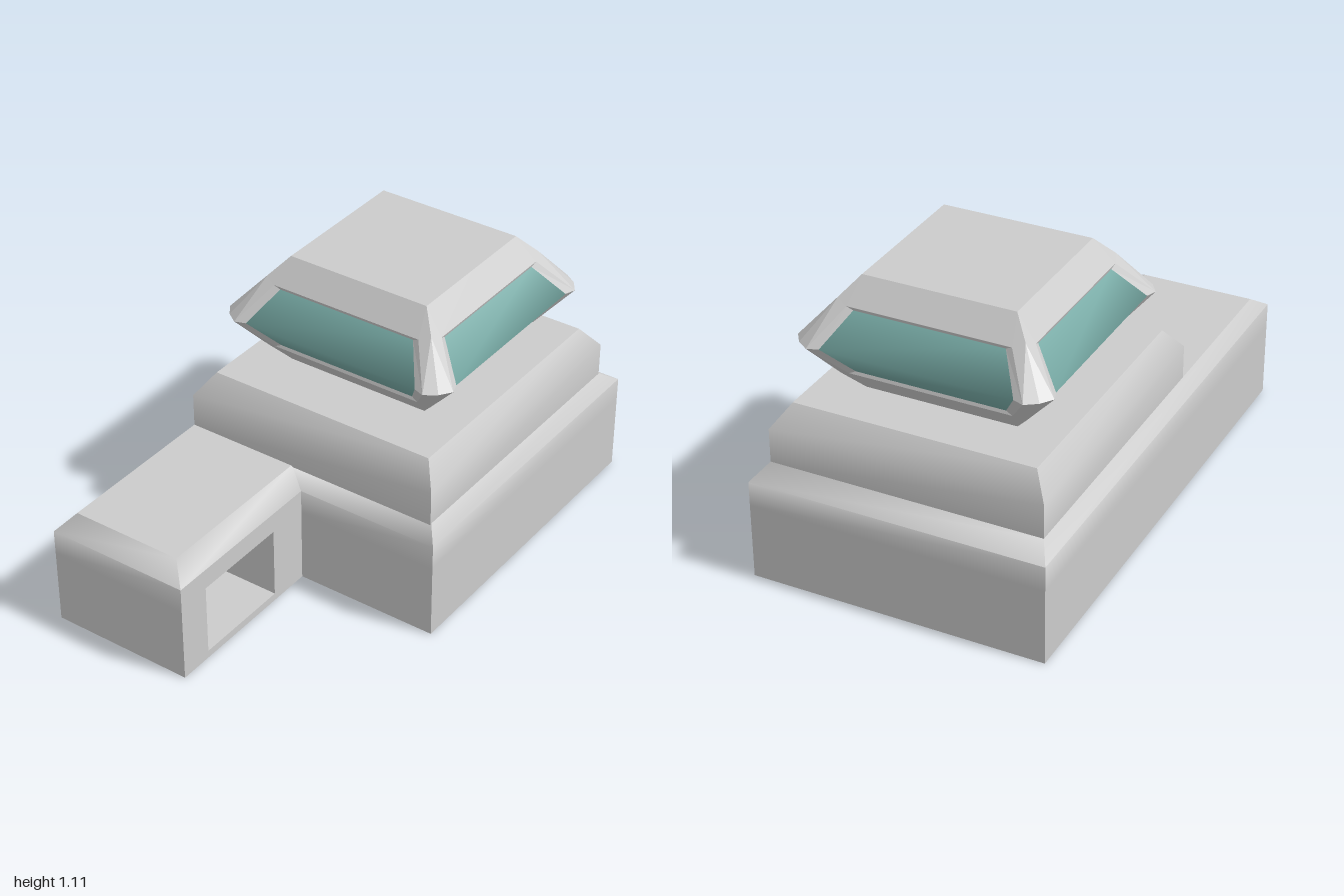
import * as THREE from 'three';
import { mergeGeometries, toCreasedNormals } from 'three/addons/utils/BufferGeometryUtils.js';

const grey = new THREE.MeshStandardMaterial({ color: 0xcccccc });
const glassMat = new THREE.MeshStandardMaterial({ color: 0x78aba6 });

// Flat polygons (fan triangulated) to a geometry with hard edges
function polys(list) {
  const pos = [];
  for (const p of list)
    for (let i = 1; i < p.length - 1; i++) pos.push(...p[0], ...p[i], ...p[i + 1]);
  const g = new THREE.BufferGeometry();
  g.setAttribute('position', new THREE.Float32BufferAttribute(pos, 3));
  g.computeVertexNormals();
  return g;
}

// Stacked outlines [y, [[x, z], ...]]; walls are softened, caps stay flat
function loft(levels, fanStart = 0, skip = () => false) {
  const rings = levels.map(([y, pts]) => pts.map(([x, z]) => [x, y, z]));
  const n = rings[0].length, walls = [];
  for (let k = 0; k < rings.length - 1; k++)
    for (let i = 0; i < n; i++) {
      if (skip(k, i)) continue;
      const j = (i + 1) % n;
      walls.push([rings[k][i], rings[k][j], rings[k + 1][j], rings[k + 1][i]]);
    }
  const fan = r => r.map((_, i) => r[(i + fanStart) % n]);
  const bottom = fan(rings[0]);
  const caps = [fan(rings[rings.length - 1]), [bottom[0], ...bottom.slice(1).reverse()]];
  return mergeGeometries([toCreasedNormals(polys(walls), 1.05), polys(caps)]);
}

const rect = (x, z0, z1) => [[-x, z1], [x, z1], [x, z0], [-x, z0]];

function mesh(name, geometry, material = grey) {
  const m = new THREE.Mesh(geometry, material);
  m.name = name;
  return m;
}

// One side of the cabin, seen along +z, centred on the origin
const H = 0.223;
const T = [0.295, H, 0.295], T0 = [0, H, 0.295], C = [0, H, 0];   // roof edge
const P = [0.357, 0.15, 0.357];                                  // start of corner chamfer
const A = [0.412, 0, 0.49], M = [0.458, 0, 0.458];               // chamfer at mid height
const O = [0.315, 0.132, 0.374], O0 = [0, 0.132, 0.374];         // window opening
const G = [0.29, 0.12, 0.37], G0 = [0, 0.12, 0.37], E = [0.37, 0, 0.475]; // glass edge

function cabinSide() {
  const quarter = [
    [C, T0, T], [O0, O, T, T0], [O, P, T], [O, A, P], [A, M, P],
    [G0, G, O, O0], [G, E, A, O],
  ];
  const all = [];
  for (const sx of [1, -1])
    for (const sy of [1, -1])
      for (const q of quarter) {
        const p = q.map(([x, y, z]) => [x * sx, y * sy, z]);
        all.push(sx * sy < 0 ? p.reverse() : p);
      }
  return polys(all);
}

// Window folded at mid height with a smooth crease
function windowGlass() {
  const g = new THREE.BufferGeometry();
  const pts = [
    [-G[0], G[1], G[2]], G, [-E[0], 0, E[2]], E,
    [-G[0], -G[1], G[2]], [G[0], -G[1], G[2]],
  ];
  g.setAttribute('position', new THREE.Float32BufferAttribute(pts.flat(), 3));
  g.setIndex([2, 3, 1, 2, 1, 0, 4, 5, 3, 4, 3, 2]);
  g.computeVertexNormals();
  return g;
}

export function createModel() {
  const model = new THREE.Group();

  // L-shaped base with a bevelled top
  const outer = [[-0.575, 1], [0, 1], [0, 0.3], [0.575, 0.3], [0.575, -1], [-0.575, -1]];
  const inner = [[-0.53, 0.92], [-0.08, 0.92], [-0.08, 0.245], [0.53, 0.245], [0.53, -0.92], [-0.53, -0.92]];
  model.add(mesh('base', loft(
    [[0, outer], [0.3, outer], [0.395, outer], [0.447, inner]],
    2, (k, i) => i === 1 && k < 2)));

  // Wing wall with the entrance opening
  const wall = new THREE.Shape([[-1, 0], [-0.3, 0], [-0.3, 0.395], [-1, 0.395]].map(p => new THREE.Vector2(...p)));
  wall.holes.push(new THREE.Path([[-0.865, 0.03], [-0.865, 0.315], [-0.47, 0.315], [-0.47, 0.03]].map(p => new THREE.Vector2(...p))));
  model.add(mesh('entranceWall', new THREE.ShapeGeometry(wall).rotateY(Math.PI / 2)));

  // Hollow room behind the opening, without its +x face
  const room = new THREE.BoxGeometry(0.5, 0.285, 0.395).translate(-0.25, 0.1725, 0.6675);
  room.setIndex([...room.index.array].slice(6));
  const roomMat = grey.clone();
  roomMat.side = THREE.BackSide;
  model.add(mesh('entranceRoom', room, roomMat));

  // Upper tier
  model.add(mesh('upperTier', loft([
    [0.44, rect(0.53, -0.92, 0.25)],
    [0.58, rect(0.53, -0.92, 0.25)],
    [0.667, rect(0.47, -0.85, 0.18)],
  ])));

  // Faceted cabin with a window on each side
  const cabin = new THREE.Group();
  cabin.name = 'cabin';
  cabin.position.set(0, 0.89, -0.35);
  for (let i = 0; i < 4; i++) {
    const side = new THREE.Group();
    side.name = 'cabinSide';
    side.rotation.y = i * Math.PI / 2;
    side.add(mesh('windowFrame', cabinSide()), mesh('window', windowGlass(), glassMat));
    cabin.add(side);
  }
  model.add(cabin);
  return model;
}
